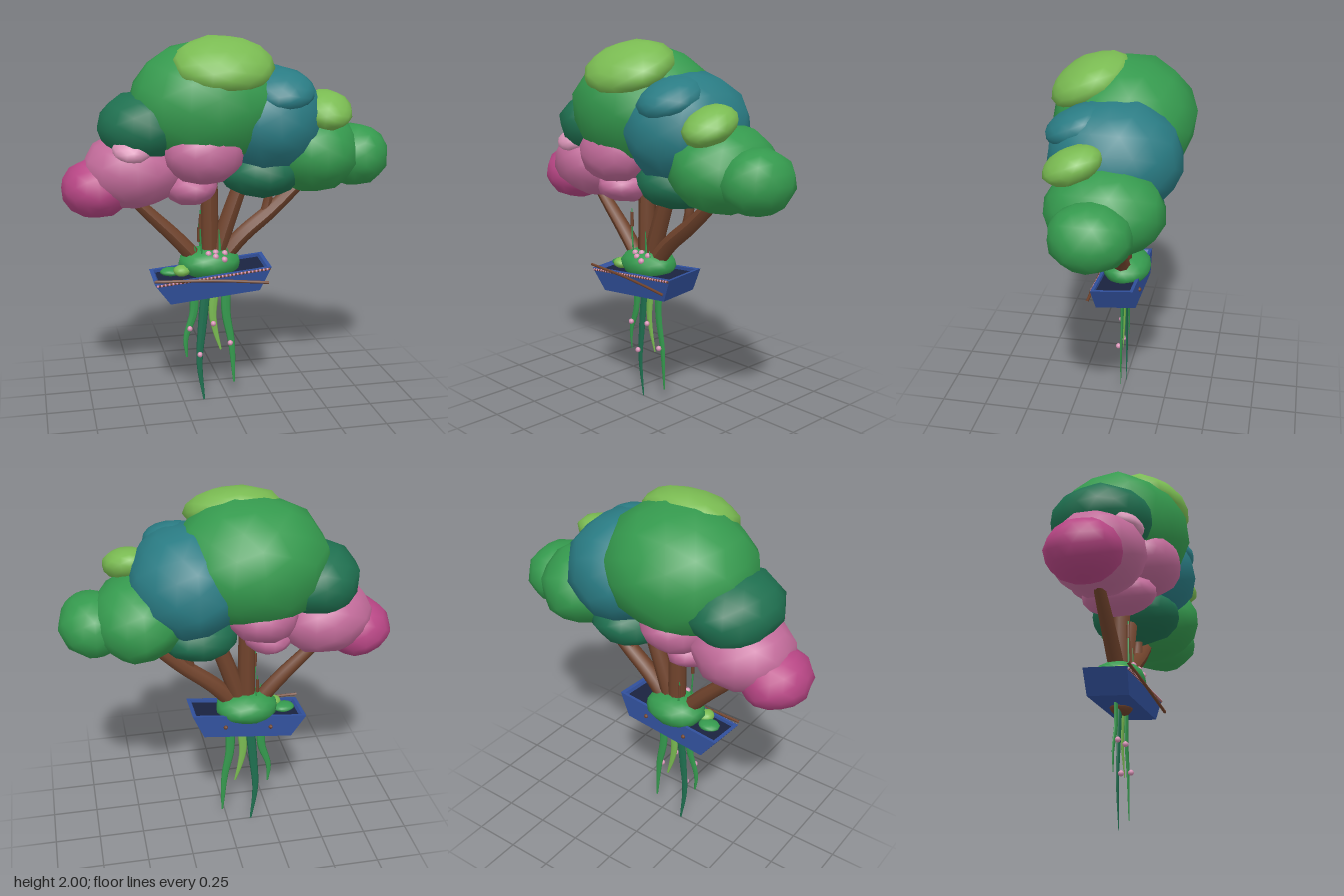
import * as THREE from 'three';
import { mergeVertices } from 'three/addons/utils/BufferGeometryUtils.js';

const mat = (name, color) => {
  const m = new THREE.MeshStandardMaterial({ color });
  m.name = name;
  return m;
};

export function createModel() {
  const model = new THREE.Group();
  model.name = 'floatingTree';
  const M = {
    green: mat('leafGreen', 0x359a4e), dark: mat('deepGreen', 0x1f7050),
    lime: mat('lime', 0x7abb52), teal: mat('teal', 0x2a7c84),
    pink: mat('pink', 0xc26b9a), magenta: mat('magenta', 0xb84685),
    pale: mat('palePink', 0xd893b6), brown: mat('bark', 0x70432c),
    blue: mat('hullBlue', 0x31509c), navy: mat('hullInside', 0x1a2340),
  };
  const add = (parent, name, geo, material) => {
    const mesh = new THREE.Mesh(geo, material);
    mesh.name = name;
    parent.add(mesh);
    return mesh;
  };
  const group = (name) => {
    const g = new THREE.Group();
    g.name = name;
    model.add(g);
    return g;
  };

  // Slightly uneven, smooth-shaded rounded clump, optionally tipped forward
  const clump = (parent, name, material, [x, y, z], [rx, ry, rz], seed = 0, tilt = 0) => {
    let g = new THREE.IcosahedronGeometry(1, 2);
    g.deleteAttribute('uv');
    g.deleteAttribute('normal');
    g = mergeVertices(g, 1e-3);
    const p = g.attributes.position, v = new THREE.Vector3();
    for (let i = 0; i < p.count; i++) {
      v.fromBufferAttribute(p, i);
      v.multiplyScalar(1.005 + 0.03 * Math.sin(5 * v.x + 7 * v.y + 6 * v.z + seed * 1.7));
      p.setXYZ(i, v.x * rx, v.y * ry, v.z * rz);
    }
    g.computeVertexNormals();
    const mesh = add(parent, name, g, material);
    mesh.position.set(x, y, z);
    mesh.rotation.x = tilt;
  };

  // Tapering tube along a curve, optionally flattened front to back
  const taper = (parent, name, material, pts, r0, r1, flat = 1, sides = 8) => {
    const path = new THREE.CatmullRomCurve3(pts.map((q) => new THREE.Vector3(...q)));
    const n = 12;
    const g = new THREE.TubeGeometry(path, n, 1, sides, false);
    const p = g.attributes.position, v = new THREE.Vector3();
    for (let i = 0; i < p.count; i++) {
      const t = Math.floor(i / (sides + 1)) / n;
      const c = path.getPointAt(t), r = r0 + (r1 - r0) * t ** 2;
      v.fromBufferAttribute(p, i).sub(c).multiplyScalar(r);
      p.setXYZ(i, c.x + v.x, c.y + v.y, c.z + v.z * flat);
    }
    g.computeVertexNormals();
    add(parent, name, g, material);
  };

  // Leafy crown
  const crown = group('crown');
  [
    ['mainCrown', 'green', [-0.11, 1.645, 0], [0.41, 0.33, 0.365]],
    ['topHighlight', 'lime', [-0.06, 1.86, 0.16], [0.255, 0.12, 0.22], 0.4],
    ['tealCrown', 'teal', [0.2, 1.565, 0], [0.31, 0.29, 0.34]],
    ['tealClump', 'teal', [0.245, 1.73, 0.165], [0.168, 0.09, 0.17], 0.4],
    ['rightHighlight', 'lime', [0.49, 1.62, 0.14], [0.13, 0.085, 0.15], 0.4],
    ['rightCrown', 'green', [0.46, 1.39, 0], [0.25, 0.225, 0.295]],
    ['rightTip', 'green', [0.69, 1.36, 0.02], [0.178, 0.165, 0.2]],
    ['leftCrown', 'dark', [-0.44, 1.54, -0.01], [0.24, 0.185, 0.27]],
    ['leftBlossom', 'pink', [-0.5, 1.32, -0.01], [0.265, 0.2, 0.25]],
    ['leftTip', 'magenta', [-0.69, 1.23, -0.01], [0.18, 0.155, 0.195]],
    ['frontBlossom', 'pink', [-0.16, 1.42, 0.18], [0.205, 0.155, 0.16]],
    ['backBlossom', 'pink', [-0.16, 1.39, -0.05], [0.2, 0.15, 0.24]],
    ['lowBlossom', 'pink', [-0.21, 1.23, 0.02], [0.14, 0.1, 0.2]],
    ['blossomHighlight', 'pale', [-0.52, 1.45, 0.15], [0.1, 0.055, 0.1], 0.4],
    ['underLeaves', 'dark', [0.17, 1.29, 0], [0.22, 0.14, 0.25]],
  ].forEach(([name, c, at, r, tilt], i) => clump(crown, name, M[c], at, r, i, tilt));

  // Trunk and branches
  const trunk = group('trunk');
  [
    [[[-0.1, 0.7, 0], [-0.1, 0.95, 0], [-0.1, 1.35, 0]], 0.05, 0.042],
    [[[-0.14, 0.78, 0], [-0.28, 0.94, 0], [-0.42, 1.08, 0], [-0.52, 1.18, 0]], 0.043, 0.028],
    [[[-0.08, 0.78, 0], [-0.01, 1.0, 0], [0.08, 1.25, 0]], 0.048, 0.04],
    [[[-0.06, 0.78, 0], [0.07, 0.93, 0], [0.24, 1.07, 0], [0.4, 1.22, 0]], 0.048, 0.036],
    [[[0.2, 1.05, 0], [0.22, 1.13, 0], [0.22, 1.22, 0]], 0.026, 0.022],
  ].forEach(([pts, a, b]) => taper(trunk, 'branch', M.brown, pts, a, b));

  // Tilted open boat
  const boat = group('boat');
  boat.position.set(-0.09, 0.643, 0.004);
  boat.rotation.set(0.09, 0, 0.1);
  const rect = (S, w, d) => new S([[-w, -d], [w, -d], [w, d], [-w, d]].map((q) => new THREE.Vector2(...q)));
  const H = 0.125;
  const flare = (g) => { // ends and sides lean outward towards the rim
    const p = g.attributes.position;
    for (let i = 0; i < p.count; i++) {
      const t = p.getY(i) / H;
      p.setX(i, p.getX(i) * (0.77 + 0.23 * t));
      p.setZ(i, p.getZ(i) * (0.95 + 0.05 * t));
    }
    g.computeVertexNormals();
    return g;
  };
  const wall = rect(THREE.Shape, 0.315, 0.115);
  wall.holes.push(rect(THREE.Path, 0.295, 0.097));
  add(boat, 'hullWalls', flare(new THREE.ExtrudeGeometry(wall, { depth: H, bevelEnabled: false }).rotateX(-Math.PI / 2)), M.blue);
  add(boat, 'hullBottom', flare(new THREE.BoxGeometry(0.63, 0.02, 0.23).translate(0, 0.01, 0)), M.blue);
  add(boat, 'deckInside', flare(new THREE.BoxGeometry(0.594, 0.02, 0.198).translate(0, 0.098, 0)), M.navy);
  // Beaded rope along the front rim
  for (let i = 0; i < 60; i++) {
    add(boat, 'ropeBead', new THREE.SphereGeometry(0.0075, 6, 4), i % 2 ? M.brown : M.pale)
      .position.set(-0.3 + 0.6 * i / 59, H - 0.008, 0.116);
  }
  // Pegs on the back of the hull
  [-0.12, 0.13].forEach((x) =>
    add(boat, 'peg', new THREE.SphereGeometry(0.012, 8, 6), M.brown).position.set(x, 0.06, -0.114));

  // Oar resting across the front, and the root below
  taper(model, 'oar', M.brown, [[-0.42, 0.745, 0.13], [-0.11, 0.735, 0.14], [0.19, 0.71, 0.155]], 0.008, 0.008, 1, 6);
  const root = add(model, 'root', new THREE.SphereGeometry(0.06, 10, 8), M.brown);
  root.position.set(-0.1, 0.645, 0);
  root.scale.set(1.1, 0.72, 1);

  // Mossy mound with blossoms
  const mound = group('mound');
  clump(mound, 'moss', M.green, [-0.1, 0.795, -0.01], [0.17, 0.088, 0.135], 3);
  clump(mound, 'smallBush', M.lime, [-0.26, 0.772, 0.045], [0.045, 0.03, 0.045], 4);
  clump(mound, 'leftBush', M.green, [-0.31, 0.757, 0], [0.06, 0.022, 0.05], 5);
  [[-0.12, 0.862, 0.07], [-0.08, 0.865, 0.06], [-0.085, 0.85, 0.09], [-0.04, 0.835, 0.1], [-0.03, 0.858, 0.06]]
    .forEach(([x, y, z]) => add(mound, 'blossom', new THREE.SphereGeometry(0.017, 10, 8), M.pale).position.set(x, y, z));

  // Reeds and grass
  const reeds = group('reeds');
  [[-0.16, 1.1, 0.055], [-0.15, 1.0, -0.05]].forEach(([x, top, z]) => {
    taper(reeds, 'reedStem', M.green, [[x + 0.01, 0.83, z], [x, 0.95, z], [x, top, z]], 0.005, 0.003, 1, 5);
    taper(reeds, 'reedHead', M.brown, [[x, top - 0.1, z], [x, top - 0.05, z], [x, top - 0.02, z]], 0.009, 0.008, 1, 6);
  });
  [[-0.06, 0.99, 0.05], [-0.02, 0.89, 0.06], [-0.19, 0.9, 0.03]].forEach(([x, top, z]) =>
    taper(reeds, 'grassBlade', M.green, [[x, 0.82, z], [x + 0.005, 0.87, z], [x, top, z]], 0.008, 0.002, 0.5, 5));

  // Hanging vines with berries
  const vines = group('vines');
  [
    ['green', [[-0.19, 0.67, 0], [-0.19, 0.52, 0], [-0.235, 0.37, 0], [-0.23, 0.26, 0]], 0.026],
    ['dark', [[-0.12, 0.67, 0], [-0.145, 0.42, 0], [-0.16, 0.22, 0], [-0.135, 0, 0]], 0.027],
    ['lime', [[-0.07, 0.67, 0], [-0.085, 0.5, 0], [-0.07, 0.4, 0], [-0.04, 0.29, 0]], 0.026],
    ['green', [[-0.01, 0.67, 0], [-0.01, 0.5, 0], [0.02, 0.33, 0], [0.035, 0.09, 0]], 0.027],
  ].forEach(([c, pts, r]) => taper(vines, 'vine', M[c], pts, r, 0.005, 0.3));
  [[-0.215, 0.43], [-0.16, 0.275], [-0.085, 0.45], [0.01, 0.33]].forEach(([x, y]) =>
    add(vines, 'berry', new THREE.SphereGeometry(0.015, 10, 8), M.pale).position.set(x, y, 0.018));

  return model;
}
